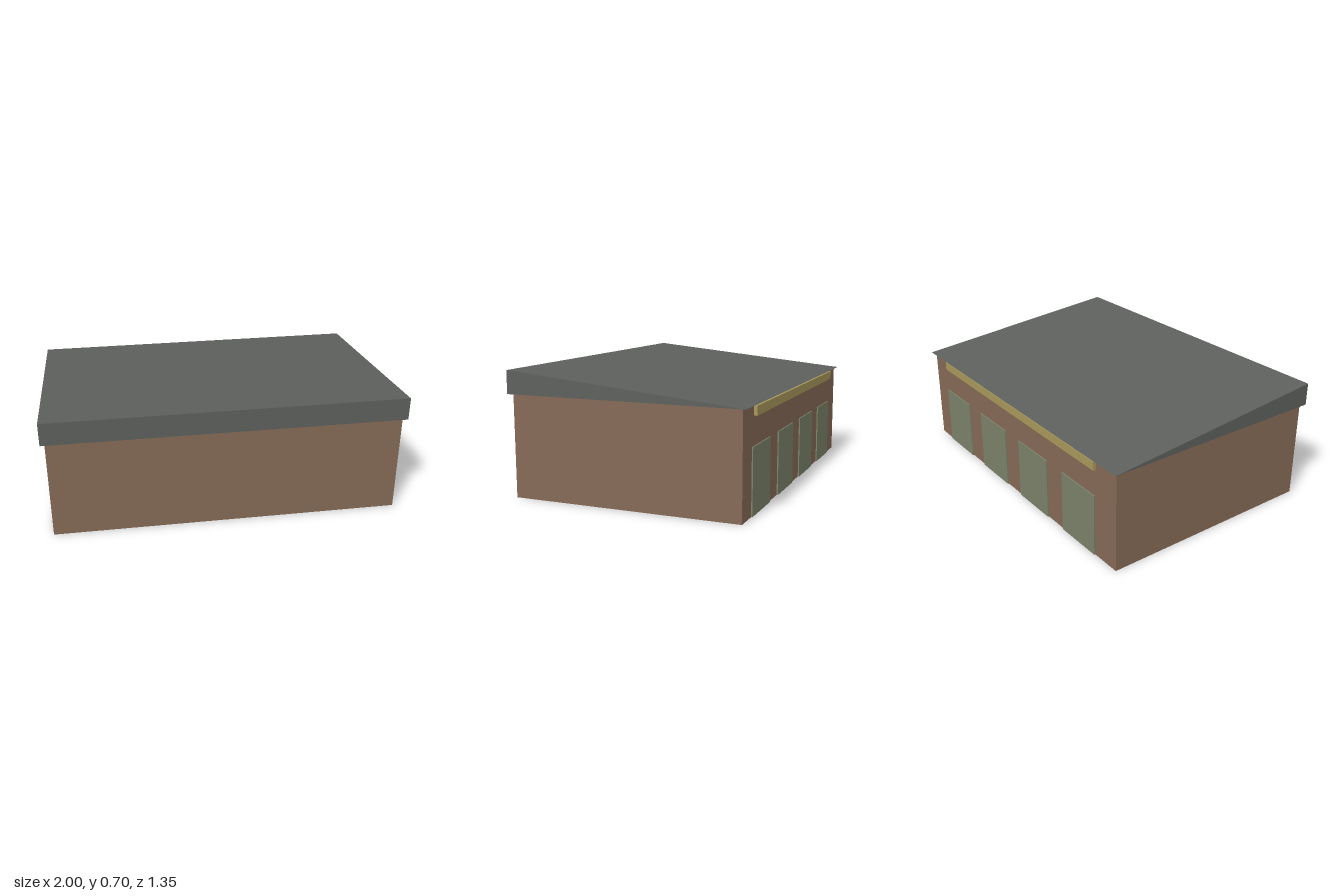
import * as THREE from 'three';

const material = (name, color) => {
  const m = new THREE.MeshStandardMaterial({ color });
  m.name = name;
  return m;
};

export function createModel() {
  const group = new THREE.Group();
  group.name = 'garageBlock';
  const wall = material('brown wall', 0x856a55);
  const roofing = material('grey roofing', 0x5d605c);
  const doorPaint = material('grey green door', 0x7a826a);
  const signPaint = material('ochre board', 0xa8985a);

  const box = (name, mat, w, h, d, x, y, z) => {
    const mesh = new THREE.Mesh(new THREE.BoxGeometry(w, h, d), mat);
    mesh.name = name;
    mesh.position.set(x, y, z);
    group.add(mesh);
  };

  // Main block
  box('walls', wall, 1.954, 0.574, 1.3, 0, 0.287, 0);

  // Wedge roof, high at the front and tapering to the back eave
  const profile = new THREE.Shape([
    new THREE.Vector2(-0.673, 0.573),
    new THREE.Vector2(0.673, 0.573),
    new THREE.Vector2(0.673, 0.702),
  ]);
  const roofGeometry = new THREE.ExtrudeGeometry(profile, { depth: 2, bevelEnabled: false });
  roofGeometry.rotateY(-Math.PI / 2).translate(1, 0, 0);
  const roof = new THREE.Mesh(roofGeometry, roofing);
  roof.name = 'roof';
  group.add(roof);

  // Four doors along the back wall
  for (let i = 0; i < 4; i++) {
    box('door' + (i + 1), doorPaint, 0.297, 0.359, 0.009, 0.689 - i * 0.447, 0.1795, -0.6525);
  }

  // Long board under the back eave
  box('signBoard', signPaint, 1.62, 0.05, 0.02, 0, 0.538, -0.657);

  return group;
}
